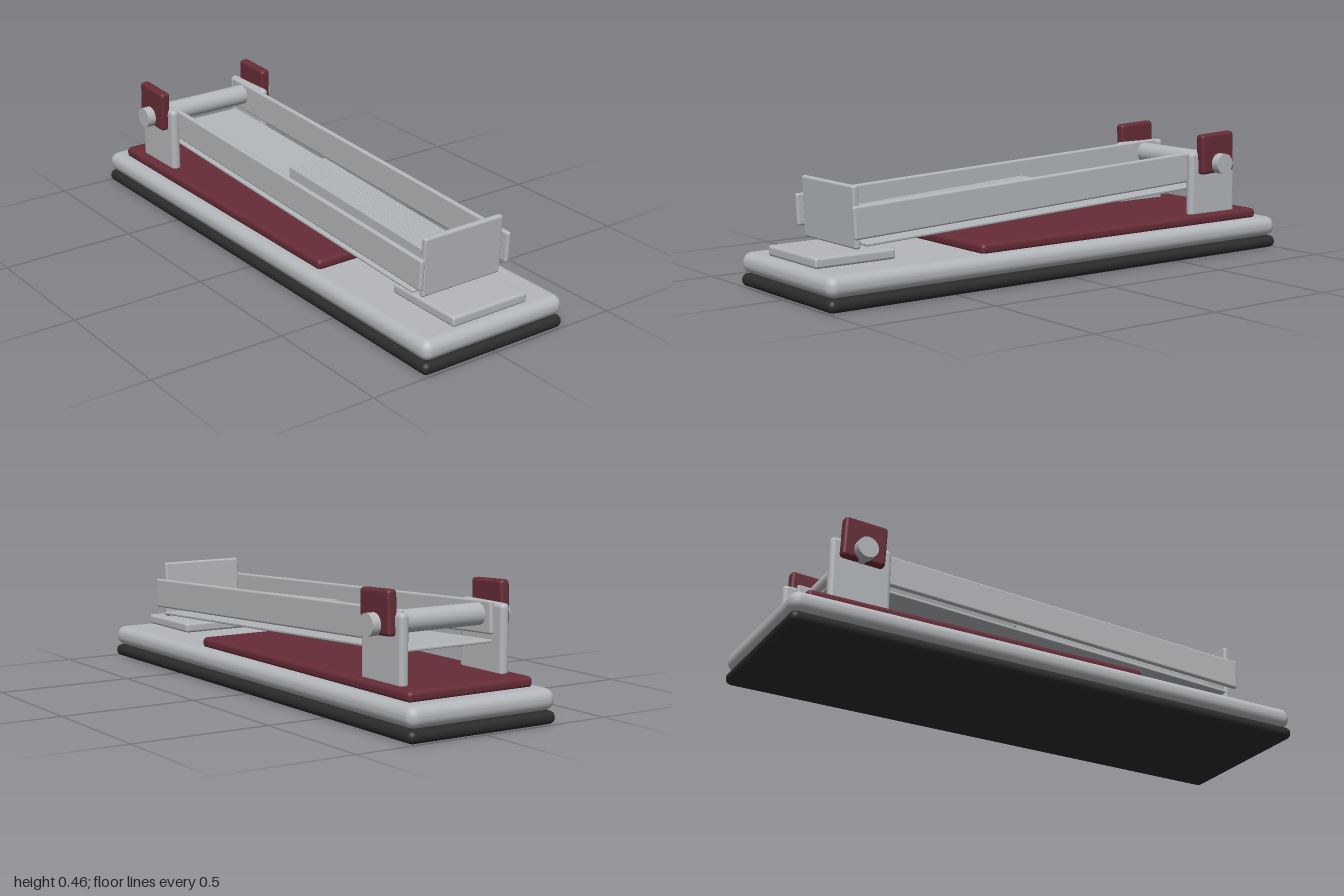
import * as THREE from 'three';
import { RoundedBoxGeometry } from 'three/addons/geometries/RoundedBoxGeometry.js';
import { mergeGeometries } from 'three/addons/utils/BufferGeometryUtils.js';

const TILT = 0.0445; // slope of the arm, rising towards the back

export function createModel() {
  const model = new THREE.Group();
  model.name = 'stapler';

  const material = (name, color) => {
    const m = new THREE.MeshStandardMaterial({ color });
    m.name = name;
    return m;
  };
  const grey = material('metal grey', 0xb4b7ba);
  const maroon = material('maroon', 0x662c36);
  const black = material('rubber black', 0x2a2b2b);

  const add = (name, geometry, mat, x, y, z, tilt = 0) => {
    const mesh = new THREE.Mesh(geometry, mat);
    mesh.name = name;
    mesh.position.set(x, y, z);
    mesh.rotation.x = tilt;
    model.add(mesh);
    return mesh;
  };
  const box = (w, h, d, r, segments = 3) => new RoundedBoxGeometry(w, h, d, segments, r);

  // Stacked base
  add('rubberPad', box(0.594, 0.045, 2, 0.022, 4), black, 0, 0.0225, 0);
  add('base', box(0.594, 0.073, 2, 0.034, 5), grey, 0, 0.0825, 0);
  add('basePlate', box(0.504, 0.04, 1.3, 0.016), maroon, 0, 0.133, -0.28);
  add('anvil', box(0.314, 0.037, 0.31, 0.01), grey, 0, 0.14, 0.812);

  // Hinge pin
  const pin = new THREE.CylinderGeometry(0.038, 0.038, 0.56, 32);
  pin.rotateZ(Math.PI / 2);
  add('hingePin', pin, grey, 0, 0.342, -0.735);

  // Mirrored brackets, grips and rails
  for (const [label, side] of [['left', 1], ['right', -1]]) {
    add(label + 'Bracket', box(0.036, 0.245, 0.225, 0.016), grey, side * 0.204, 0.2635, -0.732);
    add(label + 'Grip', box(0.038, 0.15, 0.16, 0.012), maroon, side * 0.229, 0.381, -0.731, TILT);
    add(label + 'Rail', box(0.019, 0.112, 1.64, 0.008), grey, side * 0.183, 0.299, 0.02, TILT);
  }

  // Tray floor and front plate of the arm
  add('trayFloor', box(0.37, 0.011, 1.59, 0.004, 2), grey, 0, 0.222, -0.005, TILT);
  add('frontPlate', box(0.33, 0.212, 0.022, 0.008), grey, 0, 0.277, 0.813, TILT);

  // Strip of U-shaped staples, open towards the tray
  const outline = new THREE.Shape();
  [[-0.078, 0], [-0.078, 0.08], [0.078, 0.08], [0.078, 0], [0.068, 0], [0.068, 0.07], [-0.068, 0.07], [-0.068, 0]]
    .forEach(([x, y], i) => (i ? outline.lineTo(x, y) : outline.moveTo(x, y)));
  const staple = new THREE.ExtrudeGeometry(outline, { depth: 0.011, bevelEnabled: false });
  const staples = [];
  for (let i = 0; i < 70; i++) staples.push(staple.clone().translate(0, 0, -0.012 * (i + 1)));
  add('staples', mergeGeometries(staples), grey, 0, 0.191, 0.785, 0.055);

  return model;
}
